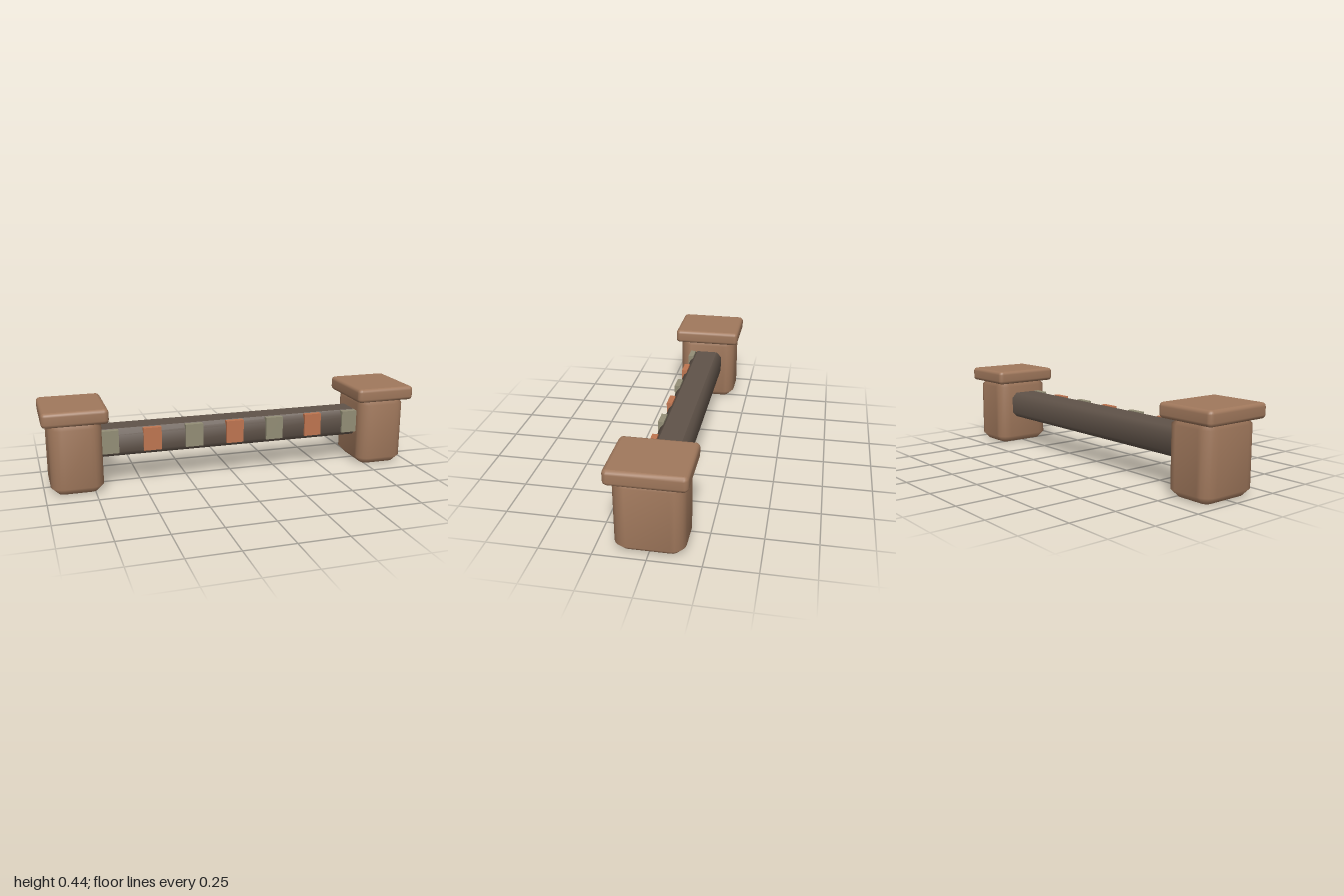
import * as THREE from 'three';

const mat = (name, color) => {
  const m = new THREE.MeshStandardMaterial({ color });
  m.name = name;
  return m;
};

// Rounded rectangle outline in the xz plane
function outline(w, d, r, steps) {
  const pts = [];
  for (let c = 0; c < 4; c++) {
    const sx = c === 0 || c === 3 ? 1 : -1, sz = c < 2 ? 1 : -1;
    for (let i = 0; i <= steps; i++) {
      const a = (c + i / steps) * Math.PI / 2;
      pts.push([sx * (w / 2 - r) + r * Math.cos(a), sz * (d / 2 - r) + r * Math.sin(a)]);
    }
  }
  return pts;
}

// Block standing on y = 0: smooth bevelled sides, flat crisp top and bottom
function bevelledBlock(w, h, d, radius, bevel, bevelSteps) {
  const rings = [];
  for (let i = 0; i <= bevelSteps; i++) {
    const a = i / bevelSteps * Math.PI / 2;
    rings.push([bevel * (1 - Math.sin(a)), bevel * (1 - Math.cos(a))]);
  }
  for (let i = bevelSteps; i >= 0; i--) rings.push([rings[i][0], h - rings[i][1]]);

  const pos = [], index = [], loops = rings.map(([inset, y]) =>
    outline(w - 2 * inset, d - 2 * inset, radius - inset, 5).map(([x, z]) => [x, y, z]));
  const n = loops[0].length;
  loops.forEach(loop => loop.forEach(p => pos.push(...p)));
  for (let k = 0; k < loops.length - 1; k++) {
    for (let i = 0; i < n; i++) {
      const a = k * n + i, b = k * n + (i + 1) % n;
      index.push(a, a + n, b, b, a + n, b + n);
    }
  }
  // Caps have their own vertices so they stay flat
  [loops[0], loops[loops.length - 1]].forEach((loop, top) => {
    const s = pos.length / 3;
    loop.forEach(p => pos.push(...p));
    for (let i = 1; i < n - 1; i++) {
      if (top) index.push(s, s + i + 1, s + i);
      else index.push(s, s + i, s + i + 1);
    }
  });
  const g = new THREE.BufferGeometry();
  g.setAttribute('position', new THREE.Float32BufferAttribute(pos, 3));
  g.setIndex(index);
  g.computeVertexNormals();
  return g;
}

export function createModel() {
  const model = new THREE.Group();
  model.name = 'lowBarrier';
  const clay = mat('clayBrown', 0xa0785c);
  const dark = mat('darkBrown', 0x605349);
  const sage = mat('sageGrey', 0x938e76);
  const orange = mat('burntOrange', 0xbf7550);

  const add = (name, geometry, material, x, y, z) => {
    const m = new THREE.Mesh(geometry, material);
    m.name = name;
    m.position.set(x, y, z);
    model.add(m);
  };

  // End posts with overhanging caps
  const post = bevelledBlock(0.266, 0.376, 0.33, 0.065, 0.036, 1);
  const cap = bevelledBlock(0.328, 0.075, 0.376, 0.024, 0.019, 3);
  for (const [side, s] of [['left', 1], ['right', -1]]) {
    add(side + 'Post', post, clay, s * 0.836, 0, 0);
    add(side + 'Cap', cap, clay, s * 0.836, 0.363, 0);
  }

  // Beam between the posts
  add('beam', bevelledBlock(1.5, 0.145, 0.176, 0.035, 0.029, 1), dark, 0, 0.157, 0);

  // Row of alternating tiles on the front of the beam
  const tile = new THREE.BoxGeometry(0.094, 0.12, 0.03);
  for (let i = -3; i <= 3; i++) {
    add('tile' + (i + 4), tile, i % 2 ? sage : orange, i * 0.2215, 0.242, 0.085);
  }
  return model;
}
